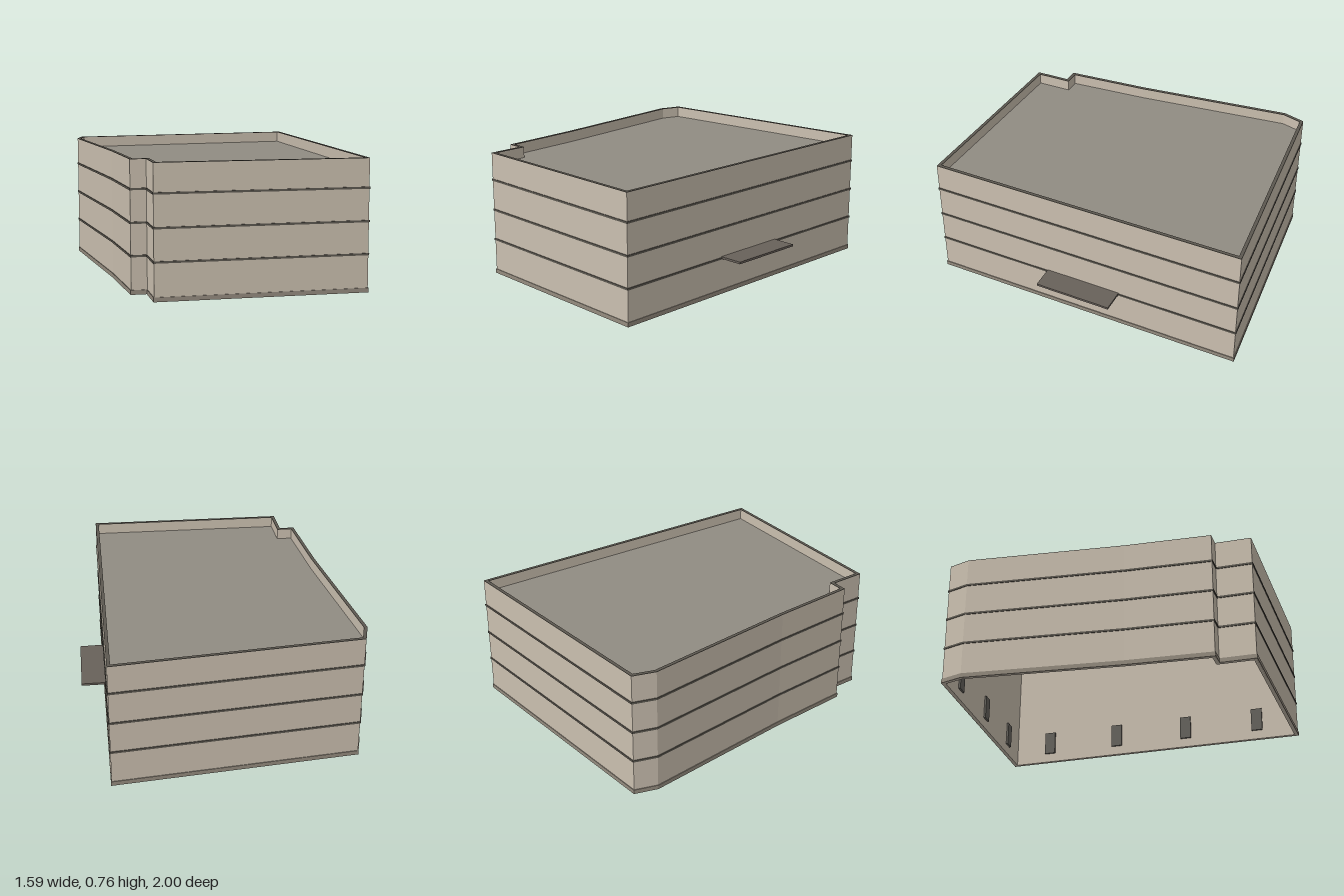
import * as THREE from 'three';

const mat = (name, color, side = THREE.FrontSide) => {
  const m = new THREE.MeshStandardMaterial({ color, side });
  m.name = name;
  return m;
};

// Building outline in plan, as [x, z], counter-clockwise seen from above
const OUTLINE = [
  [-0.73, 0.796], [0.466, 0.992], [0.766, -0.923], [-0.667, -0.996],
  [-0.725, -0.87], [-0.756, 0.07], [-0.793, 0.574], [-0.703, 0.588],
].map(([x, z]) => new THREE.Vector2(x, -z));

// Mitred offset of the outline: positive grows it, negative shrinks it
function offset(points, d) {
  const n = points.length;
  const normal = (a, b) => new THREE.Vector2(b.y - a.y, a.x - b.x).normalize();
  return points.map((p, i) => {
    const n1 = normal(points[(i + n - 1) % n], p);
    const n2 = normal(p, points[(i + 1) % n]);
    return n1.clone().add(n2).multiplyScalar(d / (1 + n1.dot(n2))).add(p);
  });
}

// Upright extrusion of a plan shape from y0 to y1
function prism(shape, y0, y1) {
  return new THREE.ExtrudeGeometry(shape, { depth: y1 - y0, bevelEnabled: false })
    .rotateX(-Math.PI / 2).translate(0, y0, 0);
}

function ring(outer, inner, y0, y1) {
  const shape = new THREE.Shape(offset(OUTLINE, outer));
  shape.holes.push(new THREE.Path(offset(OUTLINE, inner)));
  return prism(shape, y0, y1);
}

export function createModel() {
  const wall = mat('wall beige', 0xcbc0b0);
  const trim = mat('trim dark', 0x5c5850);
  const plinth = mat('plinth taupe', 0x958c7f);
  const roof = mat('roof grey', 0x918c83, THREE.DoubleSide);
  const canopyMat = mat('canopy brown', 0x68615a);
  const glass = mat('window grey', 0x66635d);

  const model = new THREE.Group();
  model.name = 'building';
  const add = (name, geometry, material) => {
    const mesh = new THREE.Mesh(geometry, material);
    mesh.name = name;
    model.add(mesh);
    return mesh;
  };

  const T = 0.02; // wall thickness
  add('walls', ring(0, -T, 0, 0.757), wall);
  add('coping', ring(0, -T, 0.757, 0.76), trim);
  add('plinth', ring(0.004, -0.004, 0, 0.026), plinth);
  [0.218, 0.405, 0.593].forEach((y, i) =>
    add(`floorBand${i + 1}`, ring(0.004, -0.004, y - 0.006, y + 0.006), trim));

  // Roof sheet set below the parapet
  const deck = new THREE.ShapeGeometry(new THREE.Shape(offset(OUTLINE, -T + 0.002)));
  add('roof', deck.rotateX(-Math.PI / 2).translate(0, 0.693, 0), roof);

  // Entrance canopy on the long side
  const canopy = [[0.648, -0.198], [0.573, 0.268], [0.72, 0.286], [0.793, -0.177]]
    .map(([x, z]) => new THREE.Vector2(x, -z));
  add('canopy', prism(new THREE.Shape(canopy), 0.216, 0.229), canopyMat);

  // Ground-floor windows on the inner wall faces, evenly spaced along each wall
  const inner = offset(OUTLINE, -T);
  const windowGeo = new THREE.BoxGeometry(0.07, 0.145, 0.024);
  inner.forEach((a, i) => {
    const b = inner[(i + 1) % inner.length];
    const length = a.distanceTo(b);
    if (length < 0.16) return;
    const count = Math.max(1, Math.floor(length / 0.38));
    for (let k = 0; k < count; k++) {
      const p = a.clone().lerp(b, (k + 0.5) / count);
      const mesh = add('window', windowGeo, glass);
      mesh.position.set(p.x, 0.13, -p.y);
      mesh.rotation.y = Math.atan2(b.y - a.y, b.x - a.x);
    }
  });

  return model;
}
